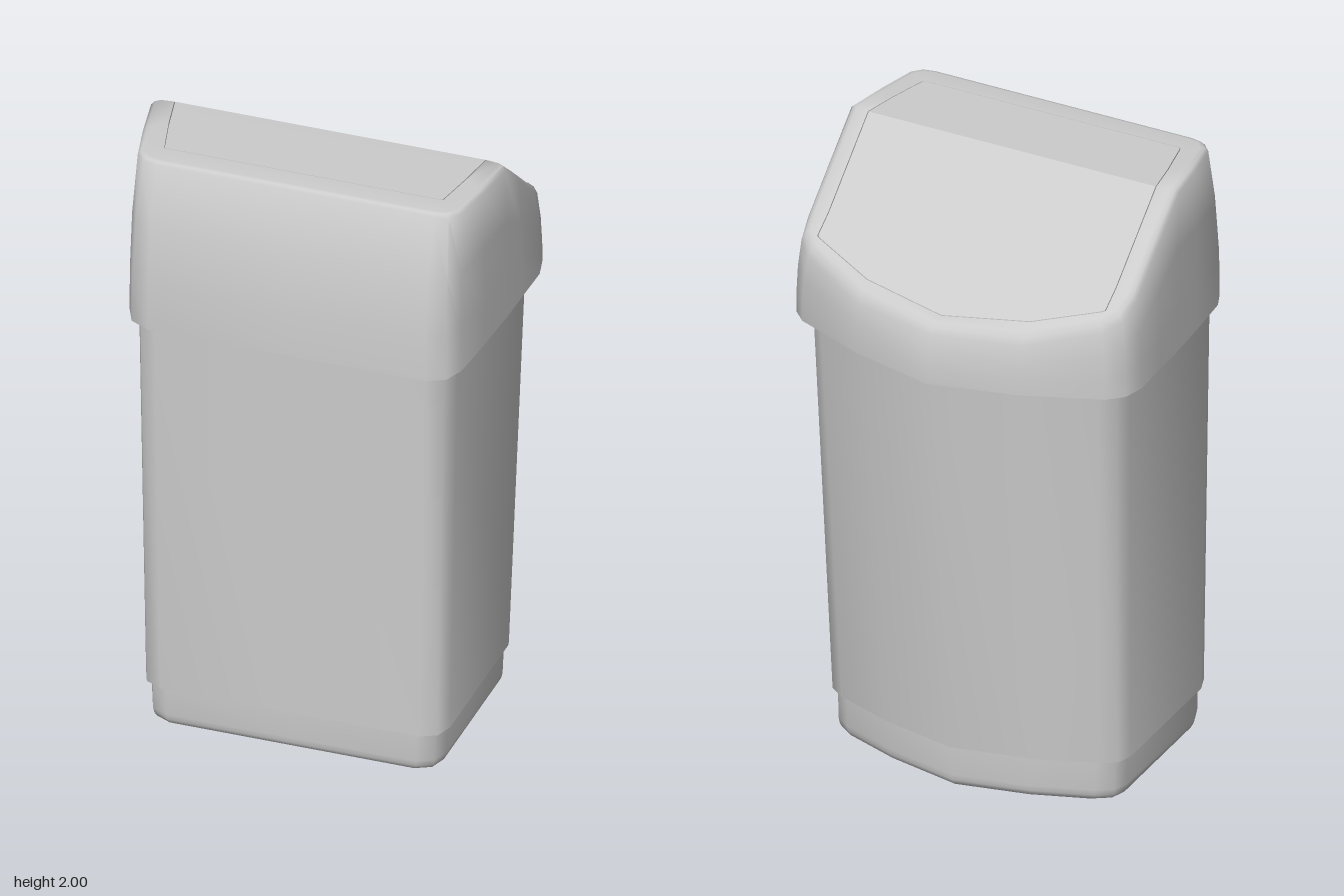
import * as THREE from 'three';
import { toCreasedNormals } from 'three/addons/utils/BufferGeometryUtils.js';

// Half outlines [x, z], from the middle of the back round the +x side to the middle of the front
const BODY_LOW = [[0, -0.33], [0.25, -0.275], [0.44, -0.205], [0.49, -0.17], [0.505, -0.12],
  [0.483, 0.36], [0.462, 0.415], [0.41, 0.44], [0, 0.44]];
const BODY_HIGH = [[0, -0.425], [0.27, -0.36], [0.475, -0.275], [0.52, -0.235], [0.535, -0.18],
  [0.505, 0.36], [0.482, 0.415], [0.43, 0.44], [0, 0.44]];
const LID_SKIRT = [[0, -0.475], [0.28, -0.405], [0.52, -0.305], [0.565, -0.26], [0.58, -0.19], [0.57, -0.05],
  [0.563, 0.06], [0.547, 0.22], [0.527, 0.385], [0.5, 0.445], [0.44, 0.475], [0, 0.475]];
const LID_EDGE = [[0, -0.452], [0.28, -0.39], [0.505, -0.297], [0.55, -0.255], [0.562, -0.19], [0.562, -0.05],
  [0.562, 0.08], [0.54, 0.22], [0.513, 0.35], [0.485, 0.38], [0.44, 0.39], [0, 0.39]];
const LID_RIM = [[0, -0.425], [0.28, -0.367], [0.485, -0.282], [0.525, -0.245], [0.537, -0.19], [0.537, -0.05],
  [0.537, 0.065], [0.515, 0.21], [0.49, 0.34], [0.468, 0.366], [0.435, 0.372], [0, 0.372]];
const PANEL = [[0, -0.385], [0.28, -0.34], [0.485, -0.263], [0.495, -0.257], [0.495, -0.19], [0.495, -0.05],
  [0.495, 0.06], [0.475, 0.17], [0.452, 0.27], [0.443, 0.308], [0.435, 0.31], [0, 0.31]];

// Height of the lid's top surface along z
const PROFILE = [[-0.46, 1.635], [-0.385, 1.64], [-0.2, 1.762], [0.06, 2], [0.5, 2]];
function topY(z) {
  if (z <= PROFILE[0][0]) return PROFILE[0][1];
  const i = PROFILE.findIndex((p) => p[0] >= z);
  const [a, b] = [PROFILE[i - 1], PROFILE[i]];
  return a[1] + (b[1] - a[1]) * (z - a[0]) / (b[0] - a[0]);
}

const scaled = (pts, s, cz = 0) => pts.map(([x, z]) => [x * s, cz + (z - cz) * s]);
const mix = (a, b, k) => a.map(([x, z], i) => [x + (b[i][0] - x) * k, z + (b[i][1] - z) * k]);

// Mirrors a half outline into a closed ring; y is a number or a function of (z, index)
function ring(half, y) {
  const pts = half.map(([x, z], i) => [x, typeof y === 'function' ? y(z, i) : y, z]);
  const mirrored = pts.slice(1, -1).reverse().map(([x, py, z]) => [-x, py, z]);
  return [...pts, ...mirrored];
}

// Skins rings from bottom to top, optionally capped with strips across x
function loft(name, rings, material, { bottom = false, top = false, crease = 0.9 } = {}) {
  const pos = [];
  const same = (p, q) => p.every((v, k) => Math.abs(v - q[k]) < 1e-6);
  const tri = (a, b, c) => {
    if (!same(a, b) && !same(b, c) && !same(a, c)) pos.push(...a, ...b, ...c);
  };
  const n = rings[0].length;
  for (let r = 0; r < rings.length - 1; r++) {
    const [a, b] = [rings[r], rings[r + 1]];
    for (let i = 0; i < n; i++) {
      const j = (i + 1) % n;
      tri(a[i], b[i], b[j]);
      tri(a[i], b[j], a[j]);
    }
  }
  const cap = (p, up) => {
    for (let i = 0; i < n / 2; i++) {
      const [a, b, c, d] = [p[i], p[(n - i) % n], p[n - i - 1], p[i + 1]];
      if (up) { tri(a, b, c); tri(a, c, d); } else { tri(a, c, b); tri(a, d, c); }
    }
  };
  if (bottom) cap(rings[0], false);
  if (top) cap(rings[rings.length - 1], true);
  const geometry = new THREE.BufferGeometry();
  geometry.setAttribute('position', new THREE.Float32BufferAttribute(pos, 3));
  const mesh = new THREE.Mesh(toCreasedNormals(geometry, crease), material);
  mesh.name = name;
  return mesh;
}

export function createModel() {
  const group = new THREE.Group();
  group.name = 'swingLidBin';
  const material = new THREE.MeshStandardMaterial({ color: 0xcccccc });

  // Recessed foot with a rounded lower edge
  const foot = [[0, 0.915], [0.008, 0.945], [0.022, 0.96], [0.04, 0.966], [0.14, 0.97]];
  group.add(loft('base', foot.map(([y, s]) => ring(scaled(BODY_LOW, s, 0.05), y)), material, { bottom: true }));

  // Tapered bin body with a small ledge over the foot
  group.add(loft('body', [
    ring(scaled(BODY_LOW, 0.95, 0.05), 0.14),
    ring(BODY_LOW, 0.14),
    ring(BODY_HIGH, 1.45),
  ], material));

  // Lid: underside, flared skirt, rounded rim and the recess for the flap
  const edgeY = (z) => topY(z) - (z >= 0.05 ? 0.012 : 0.03);
  const wall = (f, k) => {
    const pts = mix(LID_SKIRT, LID_EDGE, k);
    return ring(pts, (z, i) => 1.45 + (edgeY(LID_EDGE[i][1]) - 1.45) * f);
  };
  group.add(loft('lid', [
    ring(scaled(LID_SKIRT, 0.89), 1.45),
    wall(0, 0), wall(0.28, 0.04), wall(0.64, 0.32), wall(1, 1),
    ring(mix(LID_EDGE, LID_RIM, 0.4), (z) => topY(z) - (z >= 0.05 ? 0.002 : 0.01)),
    ring(LID_RIM, topY),
    ring(PANEL, topY),
    ring(PANEL, (z) => topY(z) - 0.012),
  ], material, { top: true }));

  // Swing flap, set in the lid with a fine gap
  const flap = scaled(PANEL, 0.994);
  group.add(loft('flap', [
    ring(flap, (z) => topY(z) - 0.012),
    ring(flap, topY),
  ], material, { top: true, crease: 0.5 }));

  return group;
}
